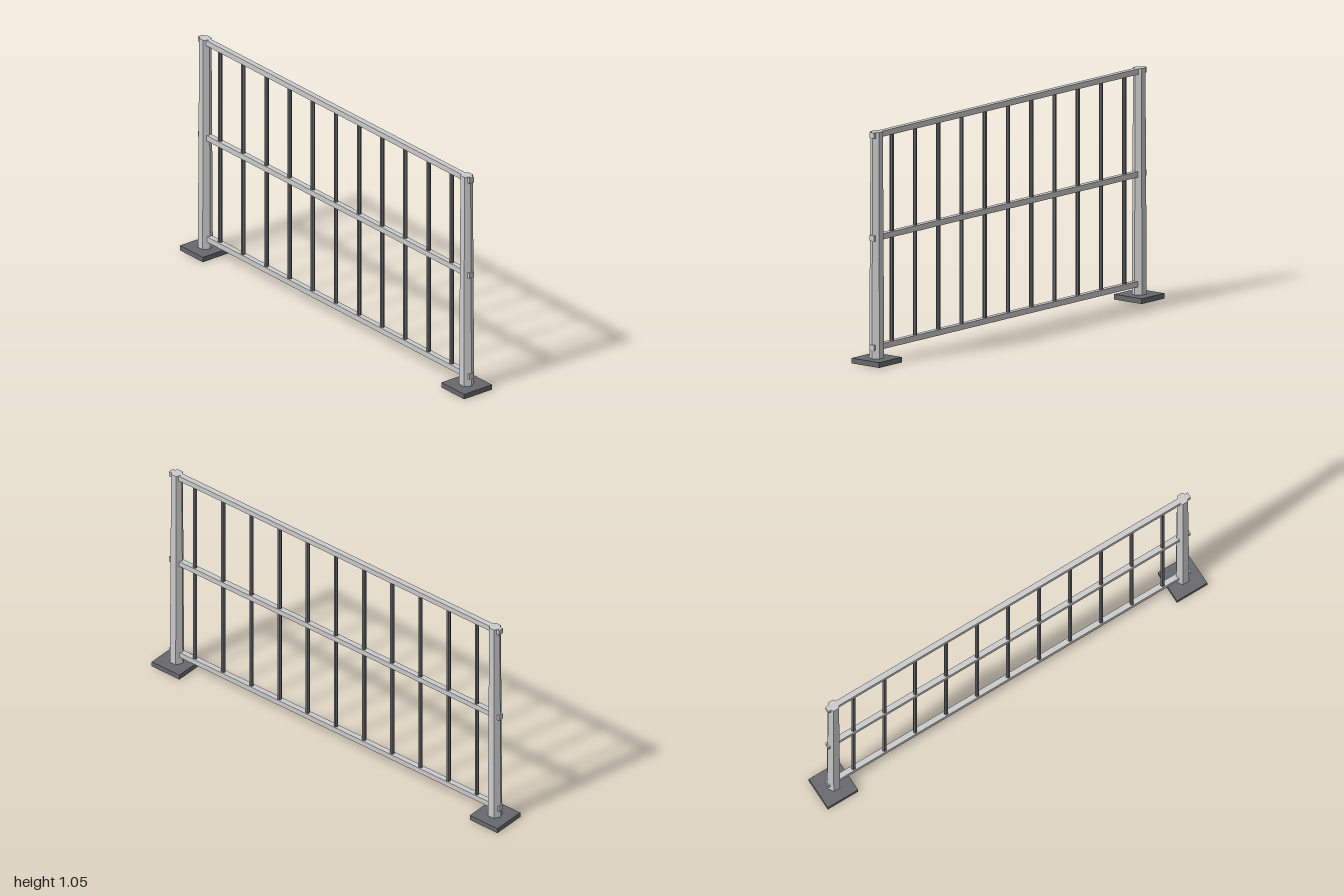
import * as THREE from 'three';

const lightMetal = new THREE.MeshStandardMaterial({ color: 0xcccccc, flatShading: true });
const darkMetal = new THREE.MeshStandardMaterial({ color: 0x66686c, flatShading: true });

const RAIL = 0.026; // square rail thickness
const railHeights = { bottomRail: 0.073, middleRail: 0.572, topRail: 1.04 };

export function createModel() {
  const group = new THREE.Group();
  group.name = 'railing';

  const add = (name, geometry, material, x, y) => {
    const mesh = new THREE.Mesh(geometry, material);
    mesh.name = name;
    mesh.position.set(x, y, 0);
    group.add(mesh);
  };

  // Tapered hexagonal posts on square base plates
  const postHeight = 1.054;
  const post = new THREE.CylinderGeometry(0.028, 0.034, postHeight, 6).rotateY(Math.PI / 6);
  const plate = new THREE.BoxGeometry(0.16, 0.024, 0.16);
  for (const [side, s] of [['left', 1], ['right', -1]]) {
    add(side + 'Post', post, lightMetal, s * 0.92, postHeight / 2);
    add(side + 'BasePlate', plate, darkMetal, s * 0.92, 0.012);
  }

  // Horizontal rails running through both posts
  const rail = new THREE.BoxGeometry(1.91, RAIL, RAIL);
  for (const [name, y] of Object.entries(railHeights)) add(name, rail, lightMetal, 0, y);

  // Thin hexagonal balusters, ending inside the top and bottom rails
  const { bottomRail, topRail } = railHeights;
  const baluster = new THREE.CylinderGeometry(0.01, 0.01, topRail - bottomRail, 6).rotateY(Math.PI / 6);
  for (let i = -5; i <= 5; i++) {
    add('baluster' + (i + 6), baluster, darkMetal, i * 0.163, (topRail + bottomRail) / 2);
  }

  return group;
}
